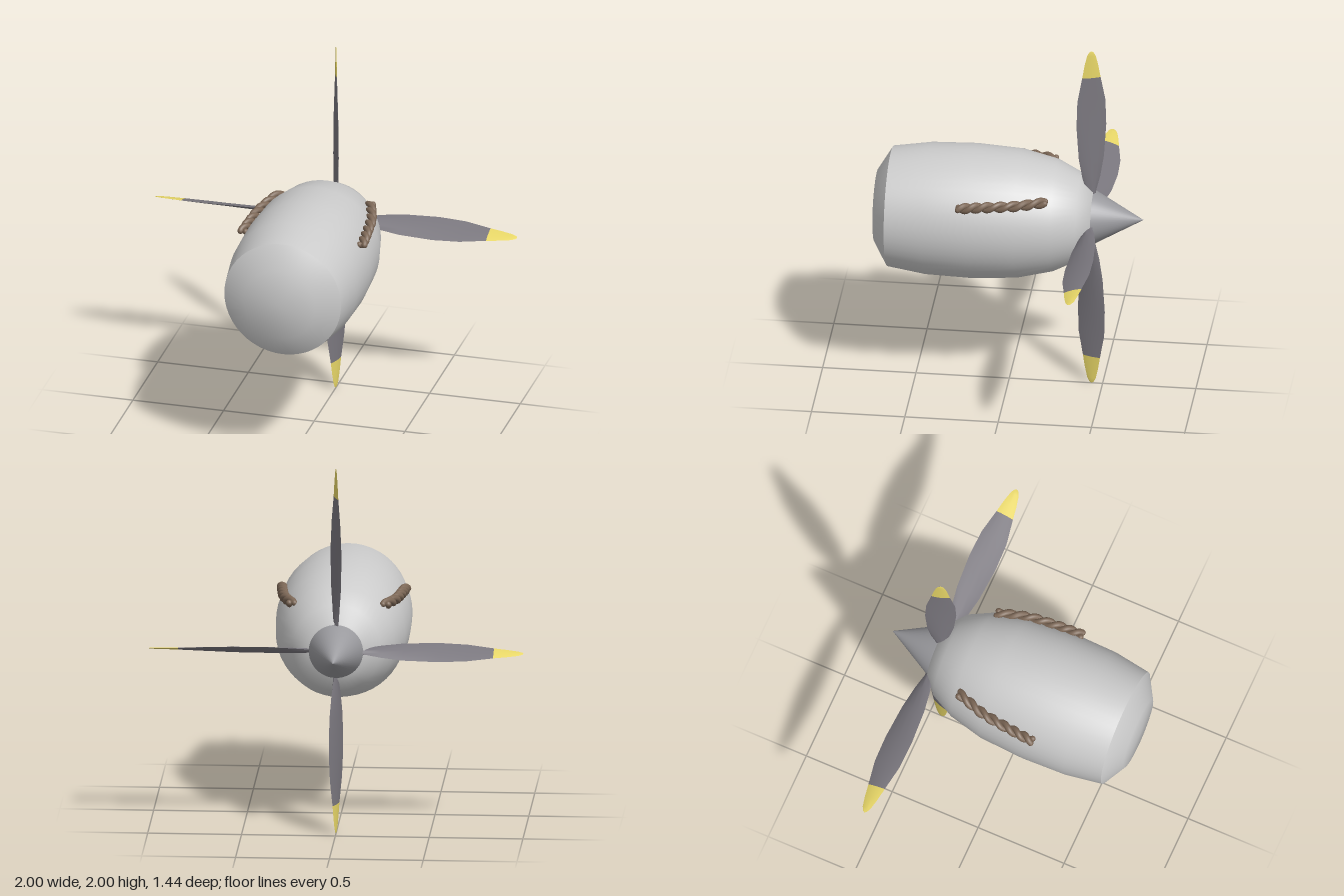
import * as THREE from 'three';
import { toCreasedNormals } from 'three/addons/utils/BufferGeometryUtils.js';

const material = (color) => new THREE.MeshStandardMaterial({ color });
const SHELL = material(0xcccccc);
const SPINNER = material(0x99999d);
const BLADE = material(0x7b787f);
const TIP = material(0xe9d868);
const ROPE = material(0x7c6756);

function part(name, geometry, mat) {
  const mesh = new THREE.Mesh(geometry, mat);
  mesh.name = name;
  return mesh;
}

// Surface of revolution about z, profile given as [z, radius] from back to front
function turned(profile, sides = 48) {
  const points = profile.map(([z, r]) => new THREE.Vector2(r, z));
  return new THREE.LatheGeometry(points, sides).rotateX(Math.PI / 2);
}

// Lens-shaped blade along +y; stations are [radius, half chord, half thickness, pitch in degrees]
function bladeGeometry(stations) {
  const n = 12, positions = [], index = [];
  stations.forEach(([y, chord, thick, pitch], i) => {
    const p = THREE.MathUtils.degToRad(pitch);
    for (let j = 0; j < n; j++) {
      const a = (j / n) * Math.PI * 2;
      const c = chord * Math.cos(a);
      const t = thick * Math.sin(a) * Math.abs(Math.sin(a));
      positions.push(c * Math.sin(p) + t * Math.cos(p), y, c * Math.cos(p) - t * Math.sin(p));
      if (i === stations.length - 1) continue;
      const k = (j + 1) % n, low = i * n, high = low + n;
      index.push(low + j, low + k, high + j, low + k, high + k, high + j);
    }
  });
  const geometry = new THREE.BufferGeometry();
  geometry.setAttribute('position', new THREE.Float32BufferAttribute(positions, 3));
  geometry.setIndex(index);
  return toCreasedNormals(geometry, 0.7);
}

// One strand of a rope wound around a gently curved centre line
class Strand extends THREE.Curve {
  constructor(core, side, phase) {
    super();
    Object.assign(this, { core, side, phase });
  }
  getPoint(t, target = new THREE.Vector3()) {
    const a = this.phase + t * Math.PI * 2 * 3.5;
    this.core.getPoint(t, target);
    target.x = this.side * (target.x + 0.014 * Math.cos(a));
    target.y += 0.014 * Math.sin(a);
    return target;
  }
}

function rope(name, side) {
  const group = new THREE.Group();
  group.name = name;
  const core = new THREE.CatmullRomCurve3([
    new THREE.Vector3(0.328, 1.18, 0.235),
    new THREE.Vector3(0.318, 1.19, 0.1),
    new THREE.Vector3(0.298, 1.197, -0.06),
    new THREE.Vector3(0.25, 1.205, -0.22),
  ]);
  for (const phase of [0, Math.PI]) {
    const curve = new Strand(core, side, phase);
    group.add(part('ropeStrand', new THREE.TubeGeometry(curve, 84, 0.0165, 10), ROPE));
    // Rounded strand ends
    for (const t of [0, 1]) {
      const cap = part('ropeEnd', new THREE.SphereGeometry(0.0165, 10, 8), ROPE);
      cap.position.copy(curve.getPoint(t));
      group.add(cap);
    }
  }
  return group;
}

export function createModel() {
  const model = new THREE.Group();
  model.name = 'propellerEngine';

  // Barrel-shaped engine housing with a softly domed front
  const housing = part('housing', turned([
    [-0.45, 0], [-0.45, 0.155], [-0.38, 0.235], [-0.25, 0.3], [-0.06, 0.345],
    [0.19, 0.36], [0.43, 0.353], [0.635, 0.322], [0.71, 0.197], [0.72, 0],
  ]), SHELL);
  housing.geometry = toCreasedNormals(housing.geometry, 0.85);
  housing.position.y = 1;
  model.add(housing);

  // Pointed spinner with a short collar
  const spinner = part('spinner', toCreasedNormals(turned([
    [-0.72, 0], [-0.46, 0.143], [-0.435, 0.148],
  ]), 0.6), SPINNER);
  spinner.position.y = 1;
  model.add(spinner);

  // Four pitched blades with coloured tips
  const bladeShape = bladeGeometry([
    [0.1, 0.022, 0.014, 27], [0.16, 0.028, 0.013, 27], [0.24, 0.05, 0.012, 26],
    [0.36, 0.071, 0.011, 26], [0.55, 0.083, 0.009, 24], [0.7, 0.077, 0.007, 21],
    [0.84, 0.05, 0.005, 18],
  ]);
  const tipShape = bladeGeometry([
    [0.84, 0.05, 0.005, 18], [0.91, 0.038, 0.004, 17], [0.97, 0.024, 0.003, 16],
    [0.993, 0.012, 0.002, 16], [1, 0, 0, 16],
  ]);
  const propeller = new THREE.Group();
  propeller.name = 'propeller';
  propeller.position.set(0, 1, -0.44);
  for (let i = 0; i < 4; i++) {
    const blade = new THREE.Group();
    blade.name = 'blade';
    blade.add(part('bladeBody', bladeShape, BLADE), part('bladeTip', tipShape, TIP));
    blade.rotation.z = (i * Math.PI) / 2;
    propeller.add(blade);
  }
  model.add(propeller);

  // Twisted ropes on both flanks
  model.add(rope('leftRope', 1), rope('rightRope', -1));
  return model;
}
